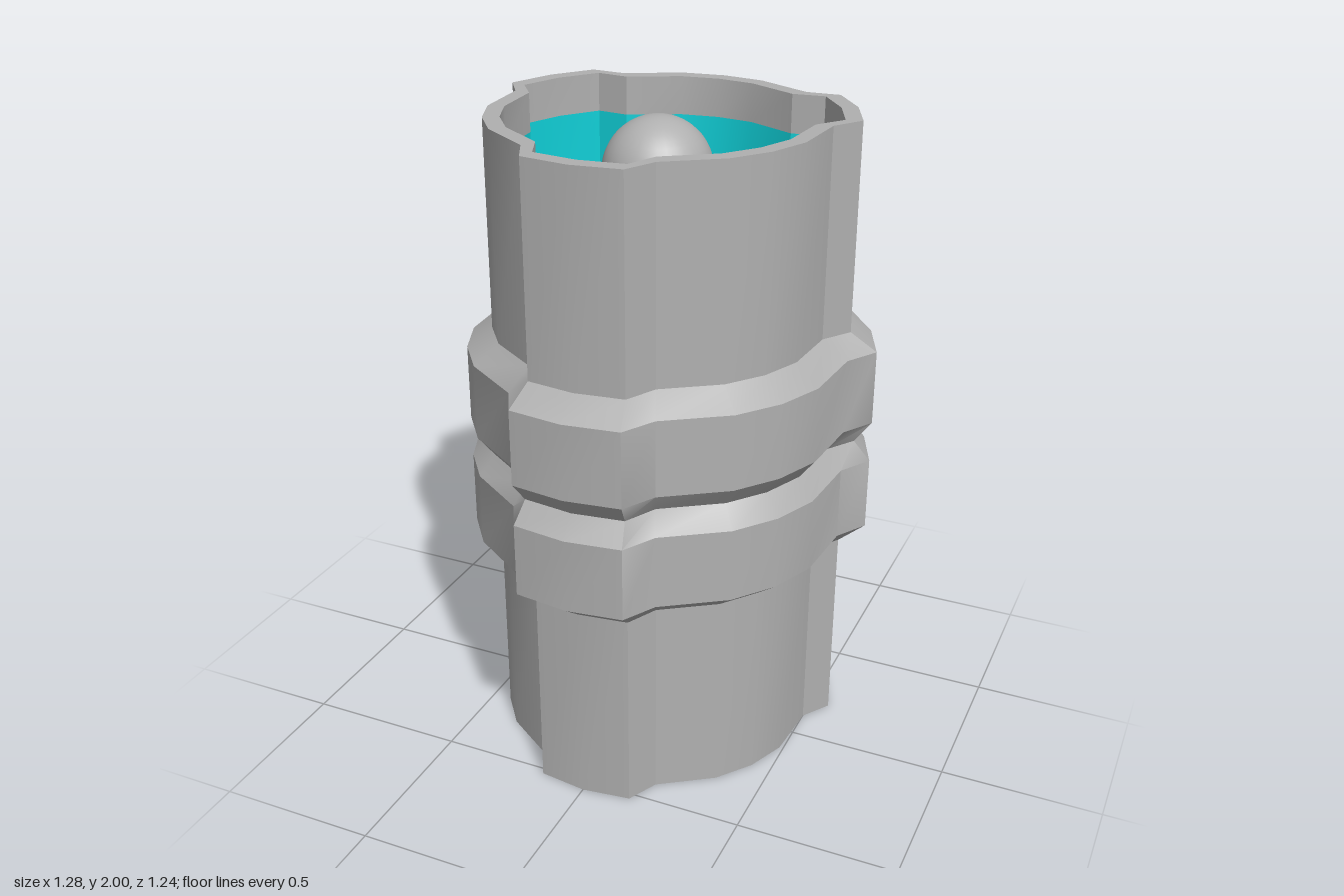
import * as THREE from 'three';
import { toCreasedNormals } from 'three/addons/utils/BufferGeometryUtils.js';

const grey = new THREE.MeshStandardMaterial({ color: 0xb0b0b0 });
const cyan = new THREE.MeshStandardMaterial({ color: 0x10d0d8 });
grey.name = 'shell grey';
cyan.name = 'glow cyan';

const AXIS_Z = -0.038; // axis of the three-ribbed shell
const CORE_Z = -0.03;

// One third of the outline: [angle in degrees, lies on a rib]
const THIRD = [[-15, 1], [0, 1], [15, 1], [23, 0], [45, 0], [60, 0], [75, 0], [97, 0]];
const OUTLINE = [0, 120, 240].flatMap(a => THIRD.map(([b, rib]) => [THREE.MathUtils.degToRad(a + b), rib]));

// Skin through levels [y, wall radius, rib radius]; faces outwards when y rises
function loft(levels) {
  const pos = [], index = [], n = OUTLINE.length;
  for (const [y, r, ribR] of levels)
    for (const [a, rib] of OUTLINE) {
      const d = rib ? ribR : r;
      pos.push(d * Math.sin(a), y, d * Math.cos(a));
    }
  for (let k = 0; k < levels.length - 1; k++)
    for (let i = 0; i < n; i++) {
      const j = (i + 1) % n;
      const a = k * n + i, b = k * n + j;
      index.push(a, b, b + n, a, b + n, a + n);
    }
  const g = new THREE.BufferGeometry();
  g.setAttribute('position', new THREE.Float32BufferAttribute(pos, 3));
  g.setIndex(index);
  return toCreasedNormals(g, 0.5);
}

function lathe(points) {
  const g = new THREE.LatheGeometry(points.map(([r, y]) => new THREE.Vector2(r, y)), 32);
  return toCreasedNormals(g, 0.5);
}

export function createModel() {
  const model = new THREE.Group();
  model.name = 'ribbedCanister';

  const add = (name, geometry, material, z) => {
    const mesh = new THREE.Mesh(geometry, material);
    mesh.name = name;
    mesh.position.z = z;
    model.add(mesh);
  };
  // Mirrored level list for the lower end
  const flip = levels => levels.map(([y, ...r]) => [2 - y, ...r]).reverse();

  // Outer shell: lower tube, grooved double collar, upper tube
  const tube = [0.505, 0.58], collar = [0.583, 0.661], groove = [0.532, 0.61];
  const inner = [0.455, 0.53];
  add('outerShell', loft([
    [0.12, ...inner], [0, ...inner],
    [0, ...tube], [0.645, ...tube], [0.705, ...collar], [0.935, ...collar],
    [1, ...groove],
    [1.065, ...collar], [1.3, ...collar], [1.36, ...tube], [2, ...tube],
    [2, ...inner], [1.88, ...inner],
  ]), grey, AXIS_Z);

  // Glowing bands and sloping floors inside both ends
  const band = [[1.88, ...inner], [1.62, ...inner]];
  const floor = [[1.62, ...inner], [1.47, 0.38, 0.43], [1.47, 0.33, 0.33]];
  add('upperInnerBand', loft(band), cyan, AXIS_Z);
  add('lowerInnerBand', loft(flip(band)), cyan, AXIS_Z);
  add('upperFloor', loft(floor), grey, AXIS_Z);
  add('lowerFloor', loft(flip(floor)), grey, AXIS_Z);

  // Stepped pedestal, post, glowing ring and dome at each end
  const pedestal = [[0.39, 1.46], [0.345, 1.52], [0.273, 1.52], [0.2, 1.59], [0.165, 1.59], [0.165, 1.79]];
  const ring = [[0.165, 1.79], [0.17, 1.79], [0.17, 1.83], [0.16, 1.83]];
  for (const side of ['upper', 'lower']) {
    const end = new THREE.Group();
    end.name = side + 'Core';
    const parts = [
      ['pedestal', lathe(pedestal), grey],
      ['coreRing', lathe(ring), cyan],
      ['dome', new THREE.SphereGeometry(0.165, 32, 12, 0, Math.PI * 2, 0, Math.PI / 2).translate(0, 1.83, 0), grey],
    ];
    for (const [name, geometry, material] of parts) {
      const mesh = new THREE.Mesh(geometry, material);
      mesh.name = name;
      end.add(mesh);
    }
    if (side === 'lower') {
      end.rotation.x = Math.PI;
      end.position.y = 2;
    }
    end.position.z = CORE_Z;
    model.add(end);
  }
  return model;
}
